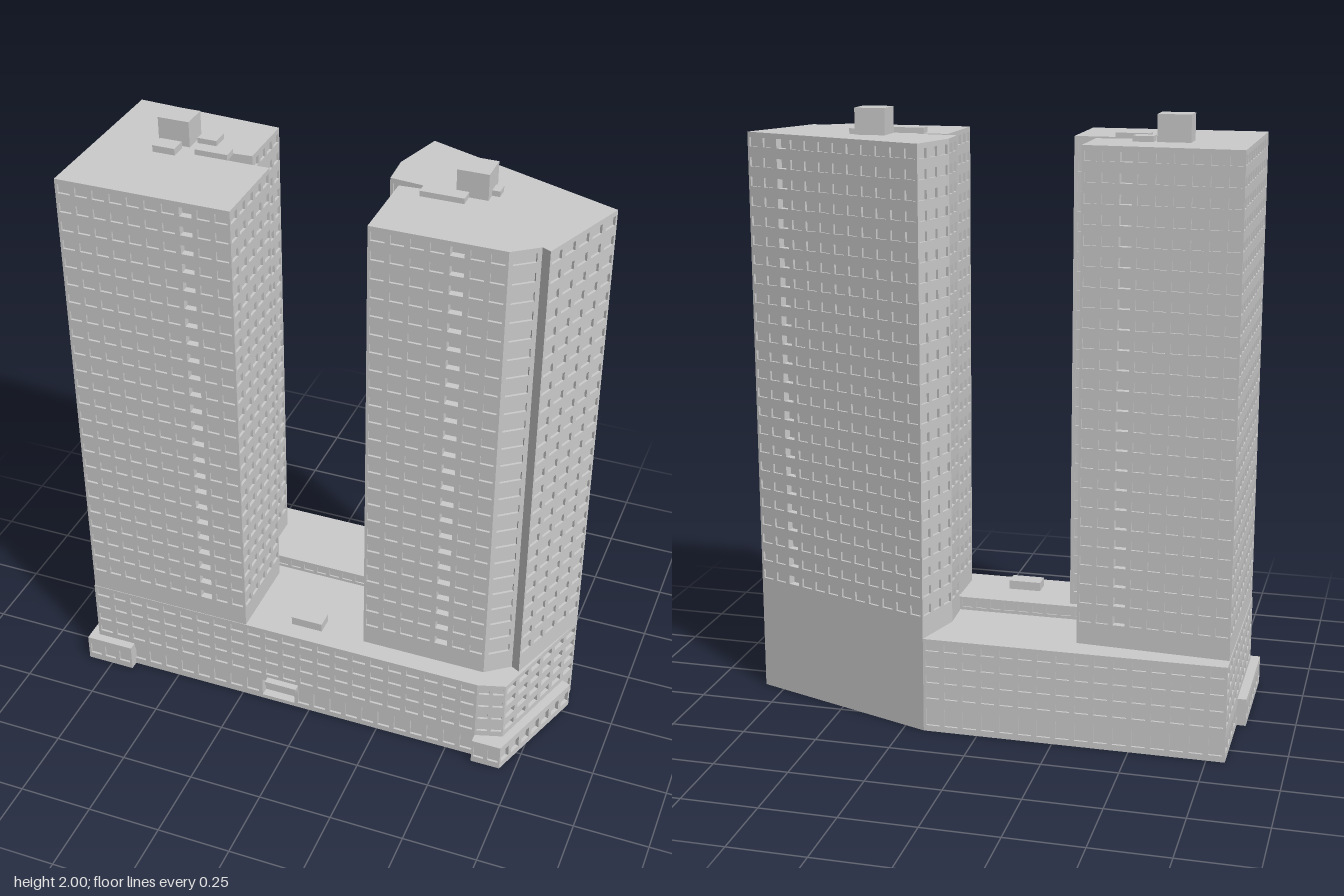
import * as THREE from 'three';
import { mergeGeometries } from 'three/addons/utils/BufferGeometryUtils.js';

const material = new THREE.MeshStandardMaterial({ color: 0xcccccc, flatShading: true });
const PODIUM_TOP = 0.32, TOWER_TOP = 1.915, FLOORS = 24, WINDOWS_FROM = 0.378;

function add(parent, name, geometry) {
  const mesh = new THREE.Mesh(geometry, material);
  mesh.name = name;
  parent.add(mesh);
  return mesh;
}

// Box given by its limits
function block(parent, name, x0, x1, y0, y1, z0, z1) {
  const g = new THREE.BoxGeometry(x1 - x0, y1 - y0, z1 - z0);
  g.translate((x0 + x1) / 2, (y0 + y1) / 2, (z0 + z1) / 2);
  return add(parent, name, g);
}

// Wall from plan point a to b (outside on the right), with a grid of recessed windows
function wall(a, b, y0, y1, { cols = 0, rows = 0, w = 0.72, h = 0.48, depth = 0.008, deep = [] } = {}) {
  const length = Math.hypot(b[0] - a[0], b[1] - a[1]);
  const tx = (b[0] - a[0]) / length, tz = (b[1] - a[1]) / length;
  const positions = [];
  const point = (u, y, d) => [a[0] + tx * u + tz * d, y, a[1] + tz * u - tx * d];
  const quad = (...c) => {
    const p = c.map((q) => point(...q));
    for (const i of [0, 1, 2, 0, 2, 3]) positions.push(...p[i]);
  };
  const flat = (u0, u1, v0, v1, d = 0) => quad([u0, v0, d], [u1, v0, d], [u1, v1, d], [u0, v1, d]);
  if (!cols || !rows) flat(0, length, y0, y1);
  const cw = length / cols, ch = (y1 - y0) / rows;
  for (let i = 0; i < cols; i++) {
    const d = deep.includes(i) ? 0.024 : depth;
    const u0 = i * cw, u1 = u0 + cw, l = u0 + cw * (1 - w) / 2, r = u1 - cw * (1 - w) / 2;
    for (let j = 0; j < rows; j++) {
      const v0 = y0 + j * ch, v1 = v0 + ch, s = v0 + ch * (1 - h) / 2, t = v1 - ch * (1 - h) / 2;
      // surround
      flat(u0, u1, v0, s);
      flat(u0, u1, t, v1);
      flat(u0, l, s, t);
      flat(r, u1, s, t);
      // pane, sill, head and jambs
      flat(l, r, s, t, d);
      quad([l, s, 0], [r, s, 0], [r, s, d], [l, s, d]);
      quad([l, t, d], [r, t, d], [r, t, 0], [l, t, 0]);
      quad([l, s, 0], [l, s, d], [l, t, d], [l, t, 0]);
      quad([r, s, d], [r, s, 0], [r, t, 0], [r, t, d]);
    }
  }
  const g = new THREE.BufferGeometry();
  g.setAttribute('position', new THREE.Float32BufferAttribute(positions, 3));
  g.computeVertexNormals();
  return g;
}

// Horizontal slab face over a plan outline
function plate(outline, y, down = false) {
  const shape = new THREE.Shape(outline.map(([x, z]) => new THREE.Vector2(x, down ? z : -z)));
  return new THREE.ShapeGeometry(shape).rotateX(down ? Math.PI / 2 : -Math.PI / 2).translate(0, y, 0);
}

// Closed ring of walls; styles[i] belongs to the side from point i to point i + 1
function walls(outline, y0, y1, styles) {
  return mergeGeometries(outline.map((p, i) => wall(p, outline[(i + 1) % outline.length], y0, y1, styles[i])));
}

function tower(parent, name, outline, columns) {
  const group = new THREE.Group();
  group.name = name;
  parent.add(group);
  add(group, 'towerBase', walls(outline, PODIUM_TOP, WINDOWS_FROM, []));
  add(group, 'towerWalls', walls(outline, WINDOWS_FROM, TOWER_TOP,
    columns.map(([cols, ...deep]) => ({ cols, rows: FLOORS, deep }))));
  add(group, 'towerRoof', plate(outline, TOWER_TOP));
  return group;
}

export function createModel() {
  const model = new THREE.Group();
  model.name = 'twinTowerBuilding';

  // Podium, with a ground floor, office floors and a plain angled back wall
  const podium = new THREE.Group();
  podium.name = 'podium';
  model.add(podium);
  const base = [[-0.81, 0.312], [0.6, 0.312], [0.69, 0.285], [0.825, -0.108], [0.18, -0.345], [-0.81, -0.345]];
  const [fl, fr] = base;
  const grid = (cols, rows, extra) => ({ cols, rows, ...extra });
  add(podium, 'podiumUpperWalls', walls(base, 0.1, PODIUM_TOP,
    [grid(22, 4), grid(2, 4), grid(6, 4, { depth: 0.012 }), {}, grid(16, 4), grid(10, 4)]));
  const ground = [{}, grid(2, 1), grid(6, 1), {}, grid(16, 1, { h: 0.6 }), grid(10, 1)];
  add(podium, 'groundFloorWalls', mergeGeometries(base.slice(1).map((p, i) =>
    wall(p, base[(i + 2) % base.length], 0, 0.1, ground[i + 1]))));
  const doorLeft = [-0.18, 0.312], doorRight = [-0.05, 0.312];
  add(podium, 'shopFronts', mergeGeometries([
    wall(fl, doorLeft, 0, 0.1, grid(10, 1, { h: 0.5 })),
    wall(doorRight, fr, 0, 0.1, grid(11, 1, { h: 0.6 })),
  ]));
  add(podium, 'entrance', wall(doorLeft, doorRight, 0, 0.1, grid(1, 1, { w: 0.92, h: 0.7, depth: 0.03 })));
  add(podium, 'podiumRoof', plate(base, PODIUM_TOP));
  add(podium, 'podiumFloor', plate(base, 0, true));
  block(podium, 'entranceCanopy', -0.155, -0.04, 0.088, 0.102, 0.31, 0.336);
  block(podium, 'podiumRoofUnit', -0.085, 0.025, PODIUM_TOP, 0.35, 0.19, 0.25);

  // Windowed link wall between the towers
  const link = [[-0.4, -0.025], [0.28, -0.025], [0.28, -0.05], [-0.4, -0.05]];
  const linkWindows = grid(14, 1, { h: 0.55, depth: 0.005 });
  add(podium, 'linkWall', walls(link, PODIUM_TOP, 0.365, [linkWindows, {}, linkWindows, {}]));
  add(podium, 'linkWallRoof', plate(link, 0.365));

  // Low blocks wrapping the two front corners
  const corners = [
    ['rightCornerBlock', [[-0.84, 0.342], [-0.67, 0.342], [-0.67, 0.3], [-0.8, 0.3], [-0.8, -0.048], [-0.84, -0.048]],
      [grid(3, 1), {}, {}, {}, {}, grid(7, 1)]],
    ['leftCornerBlock', [[0.6, 0.342], [0.7, 0.342], [0.836, -0.04], [0.8, -0.053], [0.68, 0.28], [0.6, 0.3]],
      [grid(2, 1), grid(7, 1, { depth: 0.012 })]],
  ];
  for (const [name, outline, styles] of corners) {
    add(podium, name, walls(outline, 0, 0.093, styles));
    add(podium, name + 'Roof', plate(outline, 0.093));
    add(podium, name + 'Floor', plate(outline, 0, true));
  }

  // Tower on the model's right; each side lists its columns, then its deep balcony columns
  const right = tower(model, 'rightTower',
    [[-0.808, 0.31], [-0.23, 0.31], [-0.23, 0.012], [-0.4, 0.012], [-0.4, -0.036], [-0.31, -0.042], [-0.31, -0.256], [-0.808, -0.288]],
    [[10, 7], [5], [2], [0], [1], [4], [9, 2], [10, 4]]);
  block(right, 'liftHouse', -0.62, -0.515, TOWER_TOP, 2, -0.115, -0.028);
  block(right, 'roofUnit', -0.61, -0.535, TOWER_TOP, 1.937, -0.015, 0.04);
  block(right, 'roofUnit', -0.505, -0.44, TOWER_TOP, 1.933, -0.12, -0.064);
  block(right, 'roofUnit', -0.48, -0.37, TOWER_TOP, 1.933, -0.032, 0.012);

  // Angled tower on the model's left
  const left = tower(model, 'leftTower',
    [[0.175, 0.245], [0.6, 0.245], [0.68, 0.185], [0.708, 0.2], [0.825, -0.108], [0.18, -0.345],
      [0.13, -0.17], [0.135, -0.06], [0.27, -0.046], [0.29, -0.03], [0.175, -0.022]],
    [[7, 4], [1], [0], [5], [12, 2], [3], [2], [2], [0], [1], [5]]);
  block(left, 'liftHouse', 0.355, 0.455, TOWER_TOP, 2, -0.12, -0.025);
  block(left, 'roofUnit', 0.455, 0.48, TOWER_TOP, 1.933, -0.1, -0.06);
  block(left, 'roofUnit', 0.255, 0.395, TOWER_TOP, 1.933, -0.025, 0.02);

  return model;
}
